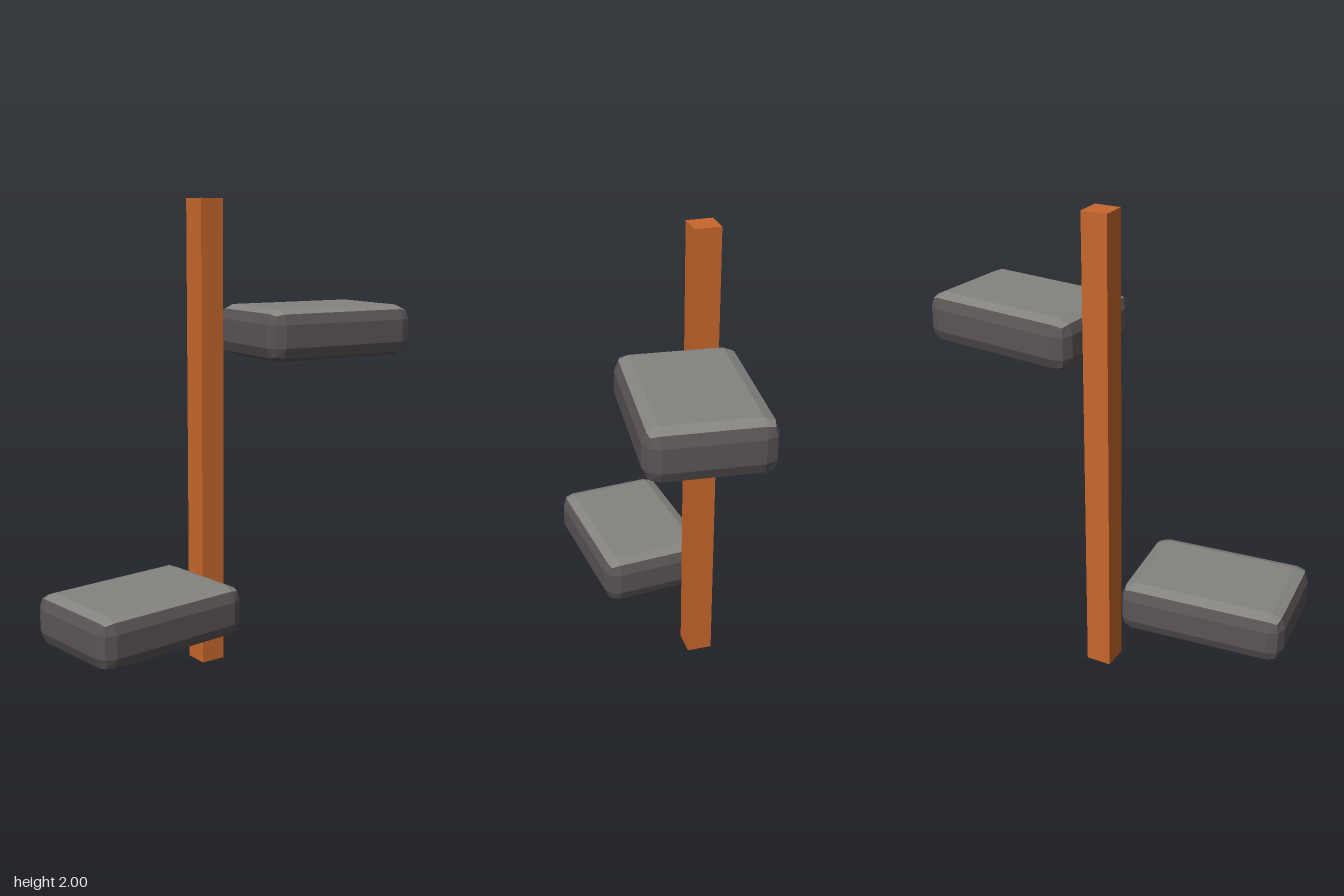
import * as THREE from 'three';
import { RoundedBoxGeometry } from 'three/addons/geometries/RoundedBoxGeometry.js';

function material(name, color, flatShading = false) {
  const m = new THREE.MeshStandardMaterial({ color, flatShading });
  m.name = name;
  return m;
}

export function createModel() {
  const model = new THREE.Group();
  model.name = 'postWithSteps';

  const orange = material('orange', 0xc8672c);
  const darkGrey = material('darkGrey', 0x5a5455, true);
  const lightGrey = material('lightGrey', 0x858380, true);

  // Upright square post, set towards the back
  const post = new THREE.Mesh(new THREE.BoxGeometry(0.11, 2, 0.11), orange);
  post.name = 'post';
  post.position.set(0, 1, -0.18);
  model.add(post);

  // Bevelled steps, one on each side; only the top face group is lighter
  const stepGeometry = new RoundedBoxGeometry(0.705, 0.215, 0.49, 1, 0.06);
  const stepMaterials = [darkGrey, darkGrey, lightGrey, darkGrey, darkGrey, darkGrey];
  for (const [name, side, y] of [['upperStep', 1, 1.448], ['lowerStep', -1, 0.337]]) {
    const step = new THREE.Mesh(stepGeometry, stepMaterials);
    step.name = name;
    step.position.set(side * 0.443, y, 0);
    step.rotation.y = side * -0.096;
    model.add(step);
  }

  return model;
}
